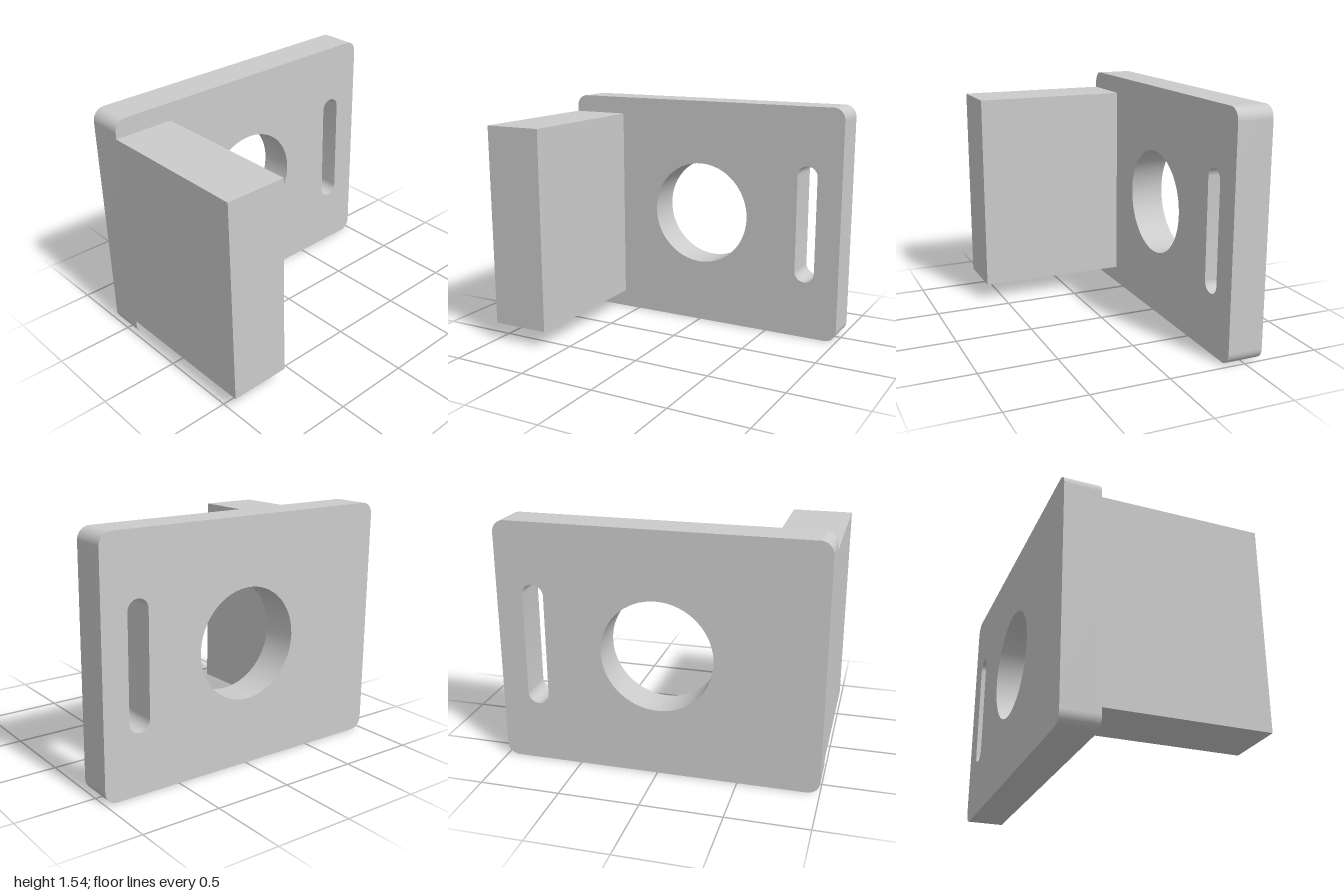
import * as THREE from 'three';
import { toCreasedNormals } from 'three/addons/utils/BufferGeometryUtils.js';

const WIDTH = 2, HEIGHT = 1.54, BACK = -0.615, FRONT = 0.615, PLATE_FRONT = -0.385;

// Rectangle with rounded corners, given its centre, size and corner radius
function roundedRect(path, cx, cy, w, h, r) {
  const x = w / 2 - r, y = h / 2 - r, q = Math.PI / 2;
  [[1, 1], [-1, 1], [-1, -1], [1, -1]].forEach(([sx, sy], i) =>
    path.absarc(cx + sx * x, cy + sy * y, r, i * q, (i + 1) * q, false));
  return path.closePath();
}

export function createModel() {
  const group = new THREE.Group();
  const material = new THREE.MeshStandardMaterial({ color: 0xcccccc });
  const midY = HEIGHT / 2;

  // Upright plate with a round bore and a vertical slot
  const outline = roundedRect(new THREE.Shape(), 0, midY, WIDTH, HEIGHT, 0.077);
  const bore = new THREE.Path().absarc(0, midY, 0.347, 0, Math.PI * 2, true);
  const slot = roundedRect(new THREE.Path(), 0.767, midY, 0.135, 0.775, 0.0674);
  outline.holes.push(bore, slot);
  const plateGeometry = new THREE.ExtrudeGeometry(outline, {
    depth: PLATE_FRONT - BACK, bevelEnabled: false, curveSegments: 32,
  });
  const plate = new THREE.Mesh(toCreasedNormals(plateGeometry, 0.5), material);
  plate.name = 'plate';
  plate.position.z = BACK;
  group.add(plate);

  // Solid arm standing forward from the right edge of the plate
  const armWidth = 0.385, armDepth = FRONT - PLATE_FRONT;
  const arm = new THREE.Mesh(new THREE.BoxGeometry(armWidth, 1.31, armDepth), material);
  arm.name = 'arm';
  arm.position.set(-WIDTH / 2 + armWidth / 2, midY, PLATE_FRONT + armDepth / 2);
  group.add(arm);

  return group;
}
